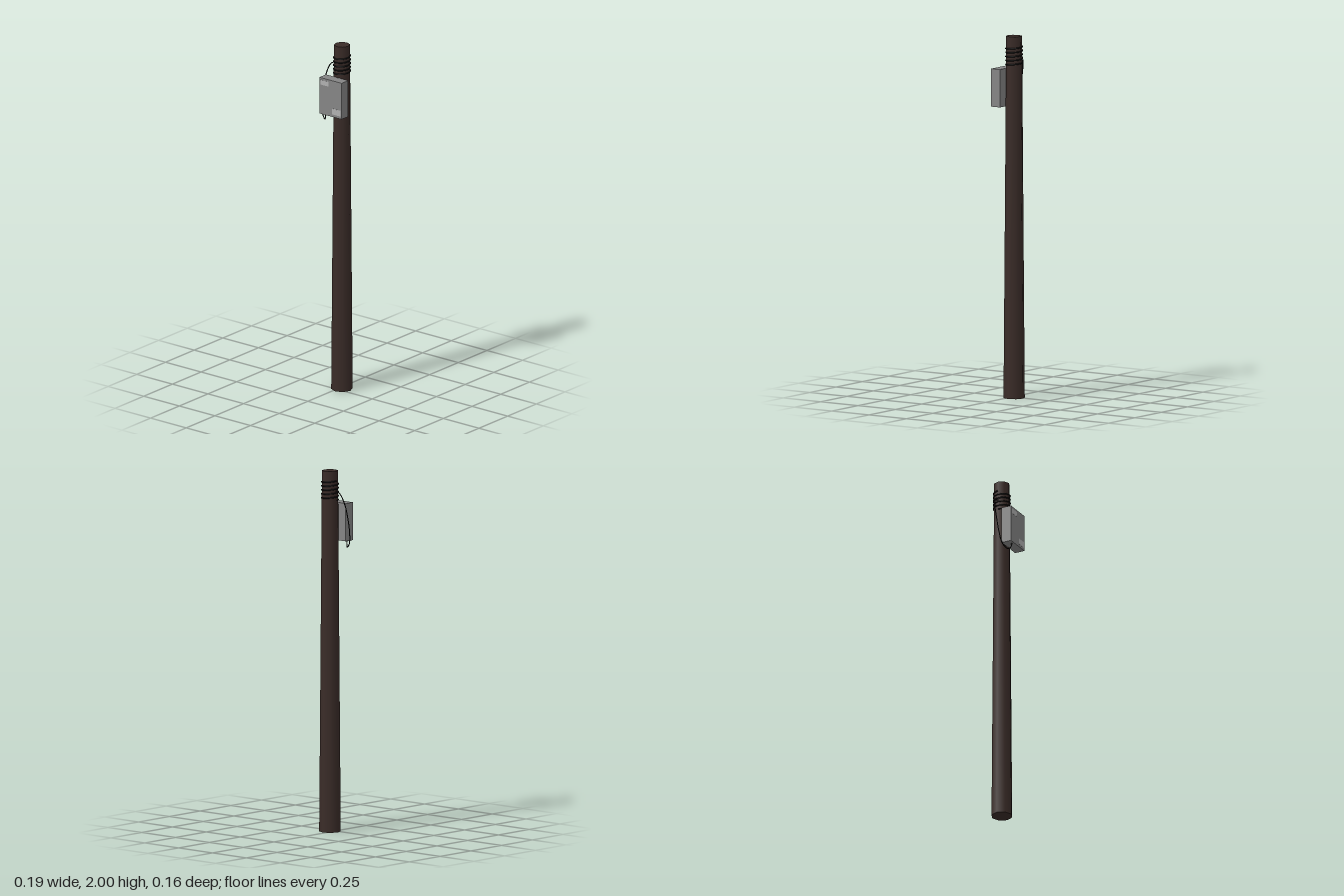
import * as THREE from 'three';

const POLE = { x: 0.016, z: -0.027, bottom: 0.059, top: 0.044, height: 2 };

function material(color) {
  return new THREE.MeshStandardMaterial({ color });
}

function add(group, name, geometry, mat, x = 0, y = 0, z = 0) {
  const mesh = new THREE.Mesh(geometry, mat);
  mesh.name = name;
  mesh.position.set(x, y, z);
  group.add(mesh);
  return mesh;
}

export function createModel() {
  const model = new THREE.Group();
  model.name = 'utilityPole';
  const wood = material(0x3a2c28);
  const rubber = material(0x111111);
  const metal = material(0x858585);
  const paper = material(0xb0b0b0);

  // Tapered eight-sided pole
  add(model, 'pole',
    new THREE.CylinderGeometry(POLE.top, POLE.bottom, POLE.height, 8),
    wood, POLE.x, POLE.height / 2, POLE.z);

  // Cable wound around the pole head
  const turns = 5, steps = 8;
  const coil = [];
  for (let i = 0; i <= turns * steps; i++) {
    const t = i / (turns * steps);
    const a = -Math.PI / 2 + (i / steps) * Math.PI * 2;
    coil.push(new THREE.Vector3(
      POLE.x + 0.046 * Math.sin(a), 1.835 + 0.11 * t, POLE.z + 0.046 * Math.cos(a)));
  }
  add(model, 'coiledCable',
    new THREE.TubeGeometry(new THREE.CatmullRomCurve3(coil), turns * 16, 0.004, 6), rubber);

  // Loose cable running from the coil into the underside of the box
  const drop = [
    [-0.028, 1.89, -0.027], [-0.06, 1.875, -0.027], [-0.083, 1.82, -0.016],
    [-0.092, 1.74, 0], [-0.092, 1.66, 0.014], [-0.08, 1.6, 0.026],
    [-0.048, 1.572, 0.043], [-0.034, 1.585, 0.055], [-0.03, 1.615, 0.06],
  ].map((p) => new THREE.Vector3(...p));
  add(model, 'looseCable',
    new THREE.TubeGeometry(new THREE.CatmullRomCurve3(drop), 40, 0.0028, 6), rubber);

  // Equipment box on the front of the pole, with two blank plates
  const box = new THREE.Group();
  box.name = 'equipmentBox';
  box.position.set(0.015, 1.715, 0.043);
  model.add(box);
  add(box, 'housing', new THREE.BoxGeometry(0.156, 0.21, 0.058), metal);
  add(box, 'upperPlate', new THREE.BoxGeometry(0.056, 0.028, 0.002), paper, -0.041, 0.079, 0.029);
  add(box, 'lowerPlate', new THREE.BoxGeometry(0.058, 0.034, 0.002), paper, 0.042, -0.073, 0.029);

  return model;
}
